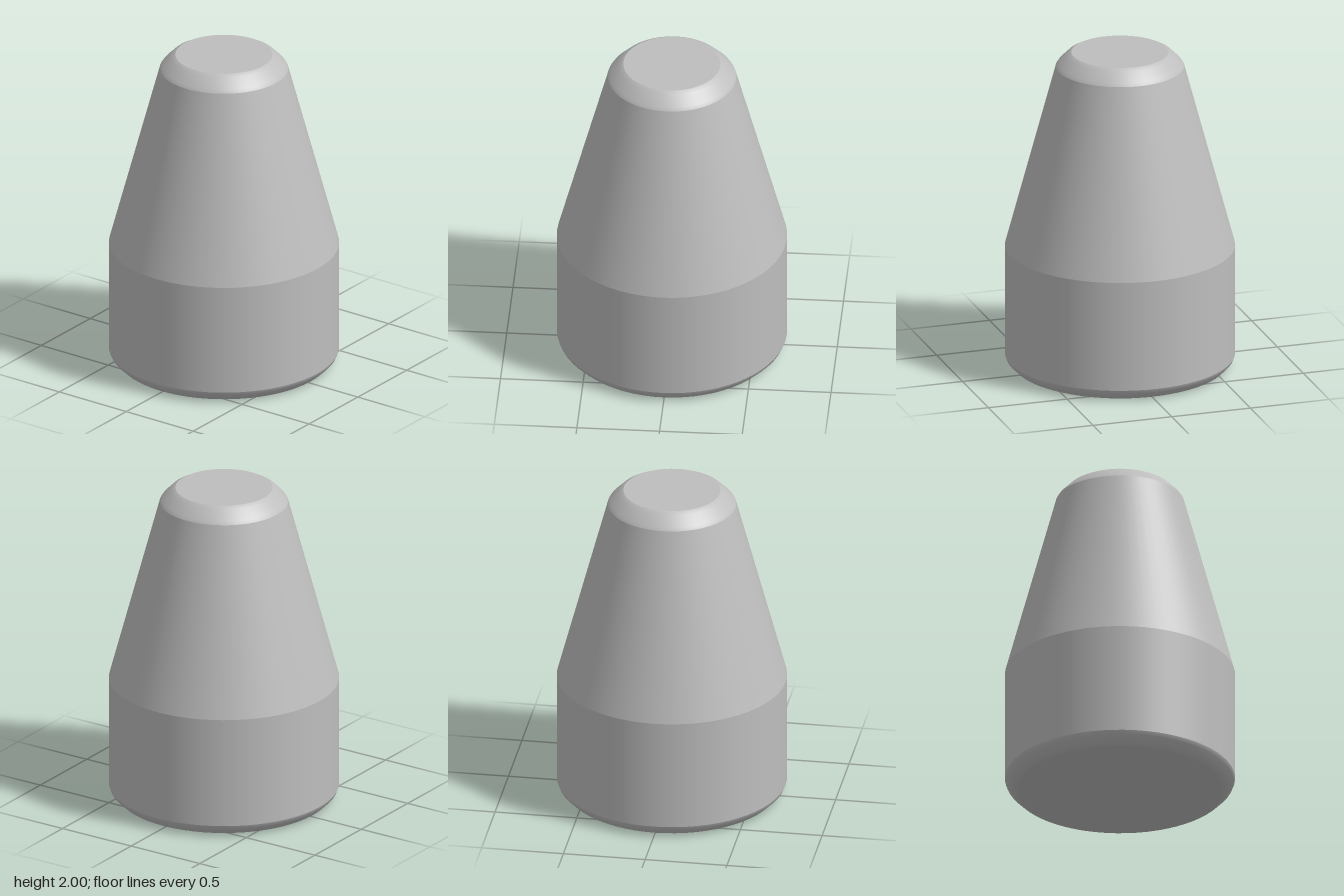
import * as THREE from 'three';

export function createModel() {
  const group = new THREE.Group();
  const grey = new THREE.MeshStandardMaterial({ color: 0xbebebe });
  grey.name = 'grey';

  // Each band of the turned profile is its own lathe, so the edges between bands stay crisp.
  const bands = {
    baseFace: [[0, 0], [0.62, 0]],
    baseChamfer: [[0.62, 0], [0.645, 0.01], [0.685, 0.05], [0.695, 0.075]],
    cylinderBody: [[0.695, 0.075], [0.695, 0.765]],
    taperedCone: [[0.695, 0.765], [0.388, 1.91]],
    topChamfer: [[0.388, 1.91], [0.375, 1.93], [0.32, 1.985], [0.293, 2]],
    topFace: [[0.293, 2], [0, 2]],
  };

  for (const [name, profile] of Object.entries(bands)) {
    const points = profile.map(([r, y]) => new THREE.Vector2(r, y));
    const mesh = new THREE.Mesh(new THREE.LatheGeometry(points, 64), grey);
    mesh.name = name;
    group.add(mesh);
  }
  return group;
}
